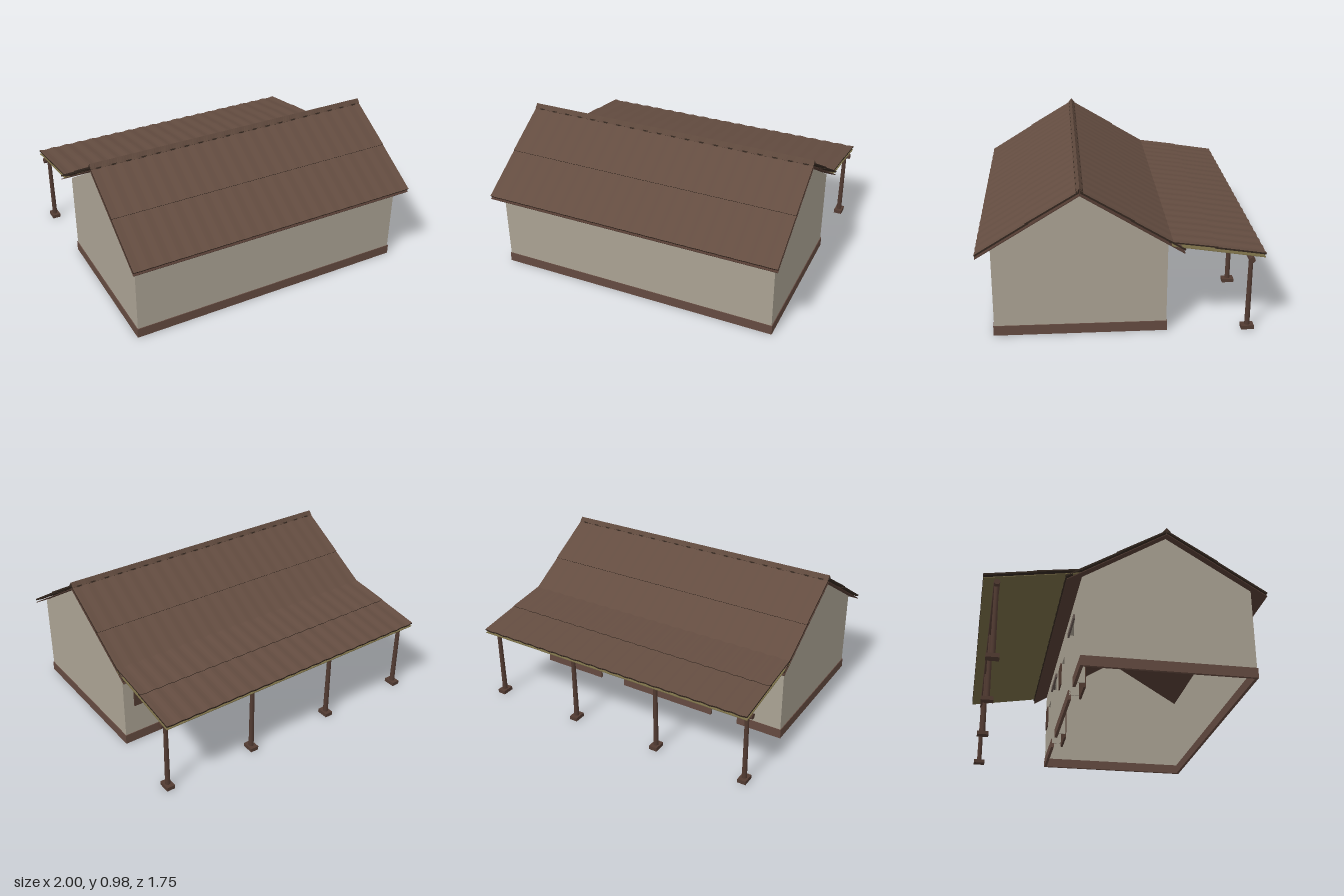
import * as THREE from 'three';

const mat = (name, color, side = THREE.FrontSide) => {
  const m = new THREE.MeshStandardMaterial({ color, side });
  m.name = name;
  return m;
};

export function createModel() {
  const house = new THREE.Group();
  house.name = 'house';
  const plaster = mat('plaster', 0xaaa293);
  const skirtBrown = mat('skirtingBrown', 0x644a40);
  const roofBrown = mat('roofBrown', 0x634c40);
  const ridgeBrown = mat('ridgeBrown', 0x5f493d, THREE.DoubleSide);
  const edgeDark = mat('darkSheetEdge', 0x33271f);
  const wood = mat('darkWood', 0x523b32);
  const greyWood = mat('greyWood', 0x685a53);
  const olive = mat('oliveLining', 0x766b45);
  const iron = mat('iron', 0x35302c);

  const add = (name, geo, material, x = 0, y = 0, z = 0) => {
    const m = new THREE.Mesh(geo, material);
    m.name = name;
    m.position.set(x, y, z);
    house.add(m);
  };
  // box given by its minimum and maximum corners
  const block = (name, material, x0, x1, y0, y1, z0, z1) =>
    add(name, new THREE.BoxGeometry(x1 - x0, y1 - y0, z1 - z0), material,
      (x0 + x1) / 2, (y0 + y1) / 2, (z0 + z1) / 2);

  const W = 0.957, zF = 0.78, zB = -0.285, zR = 0.245, T = 0.012;
  const eave = 0.59, apex = 0.92;
  const doors = [0.38, -0.54], doorHalf = 0.1, doorTop = 0.45;
  const windows = [0.71, -0.105], winHalf = 0.07, win0 = 0.28, win1 = 0.43;

  // Gable walls
  const gable = new THREE.Shape([[-zF, 0.03], [-zB, 0.03], [-zB, eave], [-zR, apex], [-zF, eave]]
    .map(p => new THREE.Vector2(...p)));
  for (const x of [-W, W - T]) {
    const g = new THREE.ExtrudeGeometry(gable, { depth: T, bevelEnabled: false });
    g.rotateY(Math.PI / 2);
    add('gableWall', g, plaster, x);
  }

  // Plain front wall, and back wall with door notches and window holes
  const L = W - T;
  block('frontWall', plaster, -L, L, 0.03, eave, zF - T, zF);
  const outline = [[L, eave], [-L, eave], [-L, 0.03]];
  for (const d of [...doors].reverse())
    outline.push([d - doorHalf, 0.03], [d - doorHalf, doorTop], [d + doorHalf, doorTop], [d + doorHalf, 0.03]);
  outline.push([L, 0.03]);
  const back = new THREE.Shape(outline.map(p => new THREE.Vector2(...p)));
  for (const w of windows) {
    back.holes.push(new THREE.Path([[w - winHalf, win0], [w - winHalf, win1], [w + winHalf, win1], [w + winHalf, win0]]
      .map(p => new THREE.Vector2(...p))));
  }
  add('backWall', new THREE.ExtrudeGeometry(back, { depth: T, bevelEnabled: false }), plaster, 0, 0, zB);

  // Skirting, broken at the doorways
  const s = 0.005, h = 0.065, inner = T + 0.002;
  for (const side of [-1, 1]) {
    const a = side * (W + s), b = side * (W - inner);
    block('sideSkirting', skirtBrown, Math.min(a, b), Math.max(a, b), 0, h, zB - s, zF + s);
  }
  block('frontSkirting', skirtBrown, -L, L, 0, h, zF - inner, zF + s);
  const cuts = [L, doors[0] + doorHalf, doors[0] - doorHalf, doors[1] + doorHalf, doors[1] - doorHalf, -L];
  for (let i = 0; i < 6; i += 2)
    block('backSkirting', skirtBrown, cuts[i + 1], cuts[i], 0, h, zB - s, zB + inner);

  // Plaster reveal lining the sides and head of an opening
  const depth = 0.07;
  const reveal = (c, half, y0, y1) => {
    for (const side of [-1, 1]) {
      const x = c + side * (half + 0.004);
      block('reveal', plaster, x - 0.004, x + 0.004, y0, y1, zB + 0.001, zB + depth);
    }
    block('revealHead', plaster, c - half, c + half, y1, y1 + 0.008, zB + 0.001, zB + depth);
  };

  // Recessed doors with lintels
  for (const d of doors) {
    reveal(d, doorHalf, 0.03, doorTop);
    block('door', wood, d - doorHalf, d + doorHalf, 0.005, doorTop, zB + depth - 0.006, zB + depth + 0.008);
    block('doorLintel', greyWood, d - 0.14, d + 0.14, doorTop, doorTop + 0.03, zB - 0.012, zB + 0.01);
  }

  // Barred windows with one folded-back shutter each
  for (const w of windows) {
    reveal(w, winHalf, win0, win1);
    block('windowSill', plaster, w - winHalf, w + winHalf, win0 - 0.008, win0, zB + 0.001, zB + depth);
    for (let i = -1; i <= 1; i++)
      block('windowBar', iron, w + i * 0.035 - 0.005, w + i * 0.035 + 0.005, win0, win1, zB + 0.025, zB + 0.035);
    block('windowRail', iron, w - winHalf, w + winHalf, 0.35, 0.36, zB + 0.025, zB + 0.035);
    block('shutter', wood, w + winHalf, w + winHalf + 0.105, win0 - 0.005, win1 + 0.005, zB - 0.01, zB - 0.001);
  }

  // Sloping sheet from (z0, y0) to (z1, y1) with z0 < z1; wave is the ripple height
  const sheet = (name, material, z0, y0, z1, y1, t, wave) => {
    const dz = z1 - z0, dy = y1 - y0;
    let g = new THREE.BoxGeometry(2, t, Math.hypot(dz, dy), wave ? 120 : 1, 1, 1);
    const p = g.attributes.position;
    for (let i = 0; i < p.count; i++)
      p.setY(i, p.getY(i) + wave * Math.cos(p.getX(i) * Math.PI * 20));
    g = g.toNonIndexed();
    g.computeVertexNormals();
    g.rotateX(Math.atan2(-dy, dz));
    add(name, g, material, 0, (y0 + y1) / 2, (z0 + z1) / 2);
  };
  // roof sheets are dark on every face but the top
  const roof = [edgeDark, edgeDark, roofBrown, edgeDark, edgeDark, edgeDark];
  const R = 0.0018;
  sheet('frontUpperRoof', roof, 0.25, 0.945, 0.565, 0.756, 0.011, R);
  sheet('frontLowerRoof', roof, 0.545, 0.763, 0.87, 0.562, 0.011, R);
  sheet('backUpperRoof', roof, -0.075, 0.756, 0.24, 0.945, 0.011, R);
  sheet('backLowerRoof', roof, -0.385, 0.564, -0.055, 0.763, 0.011, R);
  sheet('porchUpperRoof', roof, -0.58, 0.573, -0.285, 0.614, 0.009, 0.003);
  sheet('porchLowerRoof', roof, -0.875, 0.522, -0.56, 0.571, 0.011, 0.003);

  // Thin linings below the sheets
  sheet('frontLining', wood, zR, 0.928, 0.87, 0.542, 0.005, 0);
  sheet('backLining', wood, -0.382, 0.542, zR, 0.928, 0.005, 0);
  sheet('porchLining', olive, -0.873, 0.502, -0.3, 0.592, 0.004, 0);

  // Ridge cap: two leaves with scalloped lower edges, rolled along each foot
  for (const side of [-1, 1]) {
    let g = new THREE.PlaneGeometry(2, 1, 120, 1);
    const p = g.attributes.position;
    for (let i = 0; i < p.count; i++) {
      const x = p.getX(i), top = p.getY(i) > 0;
      const lip = top ? 0 : 0.005 * Math.cos(x * Math.PI * 20);
      p.setXYZ(i, x, top ? 0.975 : 0.942 + lip, top ? zR : zR + side * 0.024);
    }
    g = g.toNonIndexed();
    g.computeVertexNormals();
    add('ridgeCap', g, ridgeBrown);
    const roll = new THREE.CylinderGeometry(0.008, 0.008, 2, 6);
    roll.rotateZ(Math.PI / 2);
    add('ridgeRoll', roll, edgeDark, 0, 0.942, zR + side * 0.014);
  }

  // Porch beam, posts and feet
  const zP = -0.793;
  const beam = new THREE.CylinderGeometry(0.019, 0.019, 2, 10);
  beam.rotateZ(Math.PI / 2);
  add('porchBeam', beam, wood, 0, 0.483, zP);
  for (let i = 0; i < 4; i++) {
    const x = -0.96 + i * 0.64;
    add('porchPost', new THREE.CylinderGeometry(0.014, 0.017, 0.45, 8), wood, x, 0.245, zP);
    block('postFoot', wood, x - 0.028, x + 0.028, 0, 0.025, zP - 0.04, zP + 0.04);
  }
  return house;
}
